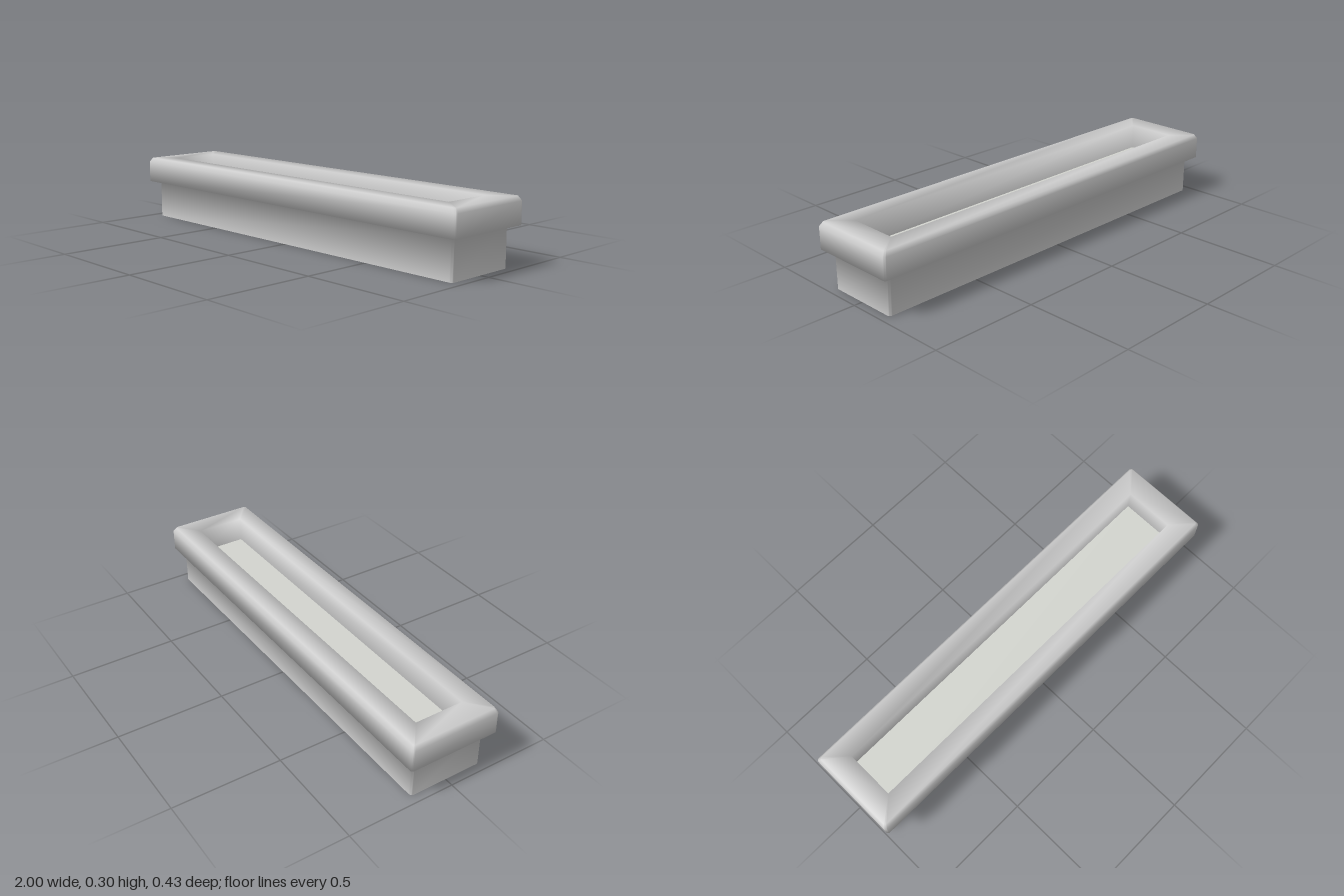
import * as THREE from 'three';
import { toCreasedNormals } from 'three/addons/utils/BufferGeometryUtils.js';

// Rounded rectangle outline at height y, running anticlockwise seen from above
function outline(hx, hz, y, r, steps = 4) {
  const pts = [];
  [[1, 1], [-1, 1], [-1, -1], [1, -1]].forEach(([sx, sz], q) => {
    for (let i = 0; i <= steps; i++) {
      const a = (q + i / steps) * Math.PI / 2;
      pts.push([sx * (hx - r) + r * Math.cos(a), y, sz * (hz - r) + r * Math.sin(a)]);
    }
  });
  return pts;
}

// Skin a list of outlines [halfX, halfZ, y, cornerRadius] from bottom outwards
function skin(sections, crease) {
  const rings = sections.map((s) => outline(...s));
  const n = rings[0].length;
  const index = [];
  for (let k = 0; k < rings.length - 1; k++) {
    for (let i = 0; i < n; i++) {
      const a = k * n + i, b = k * n + (i + 1) % n;
      index.push(a, a + n, b, b, a + n, b + n);
    }
  }
  const g = new THREE.BufferGeometry();
  g.setAttribute('position', new THREE.Float32BufferAttribute(rings.flat(2), 3));
  g.setIndex(index);
  return toCreasedNormals(g, crease);
}

export function createModel() {
  const model = new THREE.Group();
  const stone = new THREE.MeshStandardMaterial({ color: 0xcccccc, side: THREE.DoubleSide });
  stone.name = 'greyStone';
  const pale = new THREE.MeshStandardMaterial({ color: 0xd2d4ce, side: THREE.DoubleSide });
  pale.name = 'paleFloor';

  const add = (name, geometry, material) => {
    const mesh = new THREE.Mesh(geometry, material);
    mesh.name = name;
    model.add(mesh);
    return mesh;
  };

  // One smooth hollow shell: trough wall, overhang, bevelled rim and opening
  add('troughShell', skin([
    [0.96, 0.176, 0, 0.015],
    [0.96, 0.176, 0.18, 0.015],
    [1.0, 0.215, 0.18, 0.012],
    [1.0, 0.215, 0.28, 0.012],
    [0.987, 0.203, 0.3, 0.01],
    [0.885, 0.115, 0.3, 0.002],
    [0.885, 0.115, 0.18, 0.002],
  ], 1.7), stone);

  // Floor plate closing the opening at the foot of the rim
  const floor = add('floor', new THREE.PlaneGeometry(1.77, 0.23), pale);
  floor.rotation.x = -Math.PI / 2;
  floor.position.y = 0.18;

  return model;
}
